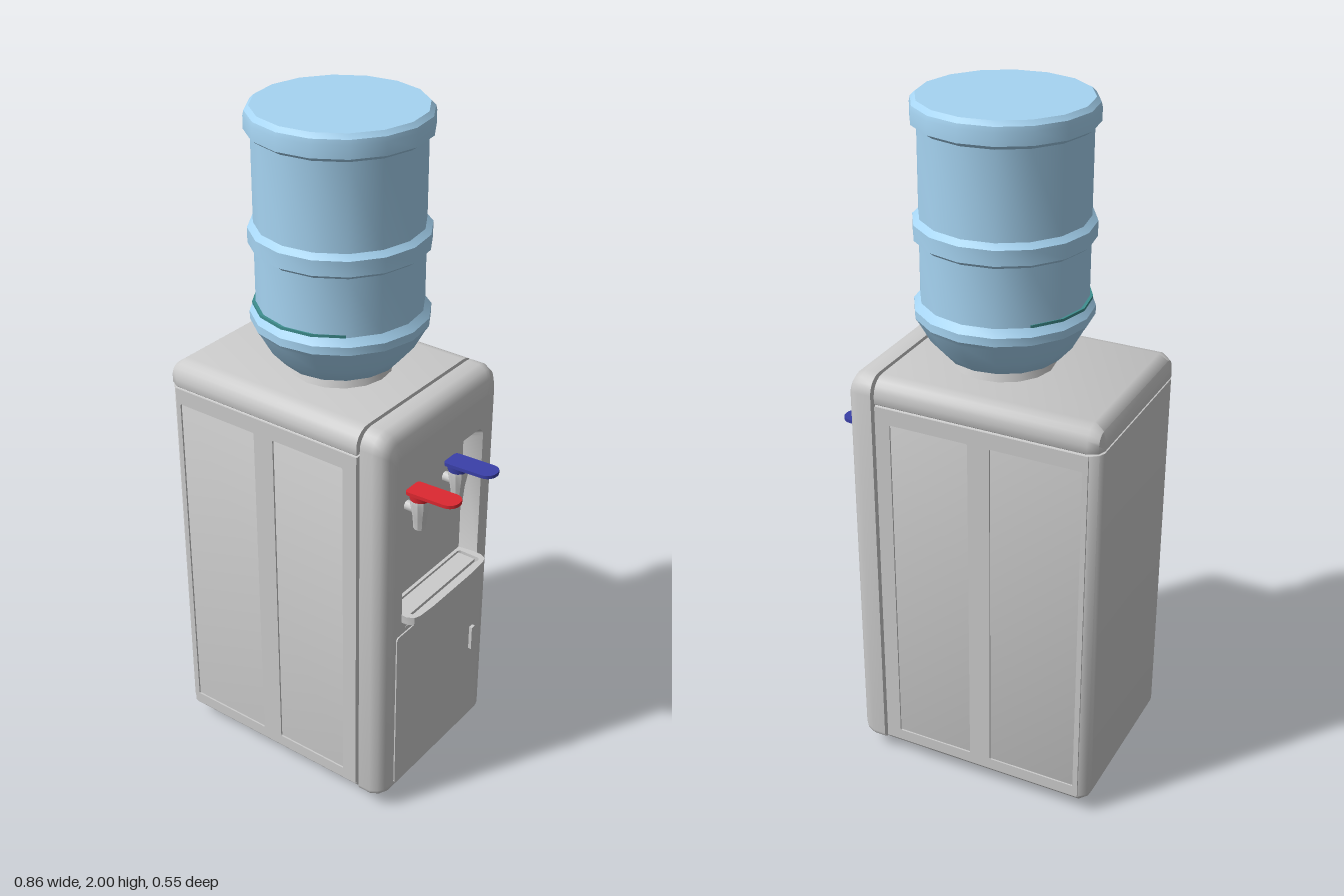
import * as THREE from 'three';
import { mergeGeometries, toCreasedNormals } from 'three/addons/utils/BufferGeometryUtils.js';

const mat = (color, side = THREE.FrontSide) => new THREE.MeshStandardMaterial({ color, side });
const grey = mat(0xcccccc);
const blue = mat(0xa6d4f2);

function add(parent, name, geo, material = grey, x = 0, y = 0, z = 0) {
  const mesh = new THREE.Mesh(geo, material);
  mesh.name = name;
  mesh.position.set(x, y, z);
  parent.add(mesh);
  return mesh;
}

// Counter-clockwise rectangle with rounded corners
function roundRect(x0, x1, y0, y1, rBottom, rTop = rBottom, n = 5) {
  const pts = [];
  const corners = [
    [x1 - rBottom, y0 + rBottom, rBottom, -Math.PI / 2], [x1 - rTop, y1 - rTop, rTop, 0],
    [x0 + rTop, y1 - rTop, rTop, Math.PI / 2], [x0 + rBottom, y0 + rBottom, rBottom, Math.PI],
  ];
  for (const [cx, cy, r, a0] of corners)
    for (let i = 0; i <= n; i++) {
      const a = a0 + (i / n) * Math.PI / 2;
      pts.push(new THREE.Vector2(cx + r * Math.cos(a), cy + r * Math.sin(a)));
    }
  return pts;
}

function capGeometry(pts, z, flip, hole) {
  const shape = new THREE.Shape(pts);
  if (hole) shape.holes.push(new THREE.Path(hole));
  const geo = new THREE.ShapeGeometry(shape);
  if (flip) geo.setIndex([...geo.index.array].reverse());
  geo.translate(0, 0, z);
  const flat = geo.toNonIndexed();
  flat.deleteAttribute('uv');
  flat.deleteAttribute('normal');
  return flat;
}

// Skin over a row of [z, loop] sections, with optional end caps
function loft(sections, { start = true, end = true, hole } = {}) {
  const pos = [];
  const n = sections[0][1].length;
  for (let i = 0; i < sections.length - 1; i++)
    for (let j = 0; j < n; j++) {
      const k = (j + 1) % n;
      for (const [s, p] of [[i, j], [i, k], [i + 1, k], [i, j], [i + 1, k], [i + 1, j]]) {
        const [z, loop] = sections[s];
        pos.push(loop[p].x, loop[p].y, z);
      }
    }
  const skin = new THREE.BufferGeometry();
  skin.setAttribute('position', new THREE.Float32BufferAttribute(pos, 3));
  const parts = [skin];
  const first = sections[0], last = sections[sections.length - 1];
  if (start) parts.push(capGeometry(first[1], first[0], true));
  if (end) parts.push(capGeometry(last[1], last[0], false, hole));
  return toCreasedNormals(mergeGeometries(parts), 0.7);
}

// Plan outline (x, z) extruded downward from y = 0
function slab(pts, depth, hole) {
  const shape = new THREE.Shape(pts);
  if (hole) shape.holes.push(new THREE.Path(hole));
  const geo = new THREE.ExtrudeGeometry(shape, { depth, bevelEnabled: false });
  return toCreasedNormals(geo.rotateX(Math.PI / 2), 0.6);
}

function buildCabinet(g) {
  const W = 0.273;
  const ring = (z, inset, y0, y1, rb, rt) => [z, roundRect(-W + inset, W - inset, y0, y1, rb, rt)];

  // Main cabinet and lid, separated by a thin seam
  const side = 0.005;
  add(g, 'cabinet', loft([
    ring(-0.43, 0.035, 0.07, 1.187, 0.01, 0.002), ring(-0.422, 0.015 + side, 0.055, 1.187, 0.015, 0.002),
    ring(-0.4, side, 0.045, 1.187, 0.02, 0.002), ring(0.225, side, 0.045, 1.187, 0.02, 0.002),
  ]));
  add(g, 'lid', loft([
    ring(-0.43, 0.035, 1.193, 1.215, 0.002, 0.015), ring(-0.422, 0.015, 1.193, 1.245, 0.002, 0.03),
    ring(-0.395, 0, 1.193, 1.265, 0.002, 0.05), ring(0.225, 0, 1.193, 1.265, 0.002, 0.05),
  ]));
  add(g, 'innerCore', new THREE.BoxGeometry(0.5, 1.17, 0.65), grey, 0, 0.645, -0.08);

  // Side frames leaving two shallow recessed panels each
  const frame = new THREE.Shape(roundRect(-0.4, 0.225, 0.065, 1.187, 0.002));
  for (const [a, b] of [[-0.385, -0.12], [-0.055, 0.18]])
    frame.holes.push(new THREE.Path(roundRect(a, b, 0.1, 1.14, 0.004)));
  for (const s of [-1, 1]) {
    const geo = new THREE.ExtrudeGeometry(frame, { depth: 0.005, bevelEnabled: false });
    geo.rotateY(-Math.PI / 2);
    add(g, 'sidePanelFrame', geo, grey, s > 0 ? W : -W + 0.005);
  }

  // Front shell with the dispensing niche
  const opening = roundRect(-0.19, 0.19, 0.65, 1.1, 0.004, 0.03);
  add(g, 'frontShell', loft([
    ring(0.236, 0, 0.045, 1.265, 0.02, 0.05), ring(0.275, 0, 0.045, 1.265, 0.02, 0.05),
    ring(0.298, 0.008, 0.05, 1.255, 0.02, 0.045), ring(0.313, 0.025, 0.058, 1.232, 0.015, 0.035),
    ring(0.32, 0.05, 0.07, 1.195, 0.01, 0.025),
  ], { hole: opening }));
  add(g, 'niche', loft([
    [0.32, opening], [0.262, roundRect(-0.182, 0.182, 0.65, 1.08, 0.004, 0.03)],
  ], { start: false }));

  // Lower door with handle
  const door = new THREE.ExtrudeGeometry(new THREE.Shape(roundRect(-0.215, 0.215, 0.075, 0.61, 0.01)),
    { depth: 0.004, bevelEnabled: false });
  add(g, 'lowerDoor', door, grey, 0, 0, 0.32);
  add(g, 'doorHandle', new THREE.BoxGeometry(0.016, 0.08, 0.014), grey, 0.17, 0.38, 0.327);
  for (let i = 0; i < 16; i++)
    add(g, 'ventSlot', new THREE.BoxGeometry(0.01, 0.005, 0.004), grey, -0.165 + i * 0.022, 0.625, 0.32);

  // Feet
  for (const x of [-0.183, 0.183])
    for (const z of [-0.33, 0.15])
      add(g, 'foot', new THREE.CylinderGeometry(0.027, 0.02, 0.05, 12), grey, x, 0.025, z);
}

function buildTray(g) {
  const outer = [
    [-0.188, 0.262], [0.188, 0.262], [0.188, 0.335], [0.178, 0.354], [0.16, 0.361],
    [0.1, 0.365], [-0.1, 0.365], [-0.16, 0.361], [-0.178, 0.354], [-0.188, 0.335],
  ].map(p => new THREE.Vector2(...p));
  add(g, 'dripTrayRim', slab(outer, 0.02, roundRect(-0.168, 0.168, 0.272, 0.345, 0.01)), grey, 0, 0.675);
  add(g, 'dripTrayBase', slab(outer, 0.008), grey, 0, 0.658);
  add(g, 'dripGrille', new THREE.BoxGeometry(0.325, 0.01, 0.056), grey, 0, 0.665, 0.302);
}

function buildTap(g, x, color) {
  const tap = new THREE.Group();
  tap.name = 'tap';
  tap.position.set(x, 0, 0.305);
  g.add(tap);
  const paint = mat(color);
  const spout = [[0.012, 0.92], [0.012, 0.908], [0.017, 0.908], [0.02, 0.945], [0.028, 0.99], [0.026, 1.004], [0, 1.004]];
  const geo = new THREE.LatheGeometry(spout.map(p => new THREE.Vector2(...p)), 10);
  add(tap, 'spout', toCreasedNormals(geo, 0.5), mat(0xcccccc, THREE.DoubleSide));
  const stem = new THREE.CylinderGeometry(0.015, 0.015, 0.05, 10).rotateX(Math.PI / 2);
  add(tap, 'stem', stem, grey, 0, 0.965, -0.022);
  add(tap, 'leverRoot', new THREE.CylinderGeometry(0.031, 0.029, 0.024, 12), paint, 0, 1.014);
  const lever = add(tap, 'lever', slab(roundRect(-0.0325, 0.0325, -0.03, 0.125, 0.01, 0.03), 0.01), paint, 0, 1.031);
  lever.rotation.x = -0.04;
}

function buildBottle(g) {
  const bottle = new THREE.Group();
  bottle.name = 'bottle';
  bottle.position.z = -0.03;
  bottle.rotation.y = -0.05;
  g.add(bottle);
  const profile = [
    [0, 1.28], [0.13, 1.285], [0.165, 1.3], [0.205, 1.345], [0.235, 1.4], [0.245, 1.415], [0.245, 1.438],
    [0.228, 1.458], [0.228, 1.622], [0.244, 1.634], [0.244, 1.676], [0.228, 1.69],
    [0.228, 1.928], [0.245, 1.94], [0.245, 1.975], [0.242, 1.988], [0.23, 2], [0, 2],
  ].map(p => new THREE.Vector2(...p));
  add(bottle, 'bottleShell', toCreasedNormals(new THREE.LatheGeometry(profile, 16), 0.5), blue);
  add(bottle, 'collar', new THREE.CylinderGeometry(0.135, 0.145, 0.03, 16), grey, 0, 1.275);
  // Water surface, showing slightly on one side
  add(bottle, 'waterLevel', new THREE.CylinderGeometry(0.228, 0.228, 0.008, 16), mat(0x3f8f8f), -0.006, 1.461, -0.007);
}

export function createModel() {
  const root = new THREE.Group();
  root.name = 'waterDispenser';
  // Parts are laid out with the taps toward local +z, then turned to +x
  const g = new THREE.Group();
  g.name = 'dispenser';
  g.rotation.y = Math.PI / 2;
  root.add(g);
  buildCabinet(g);
  buildTray(g);
  buildTap(g, -0.092, 0xdc2830);
  buildTap(g, 0.092, 0x3a40a8);
  buildBottle(g);
  return root;
}
